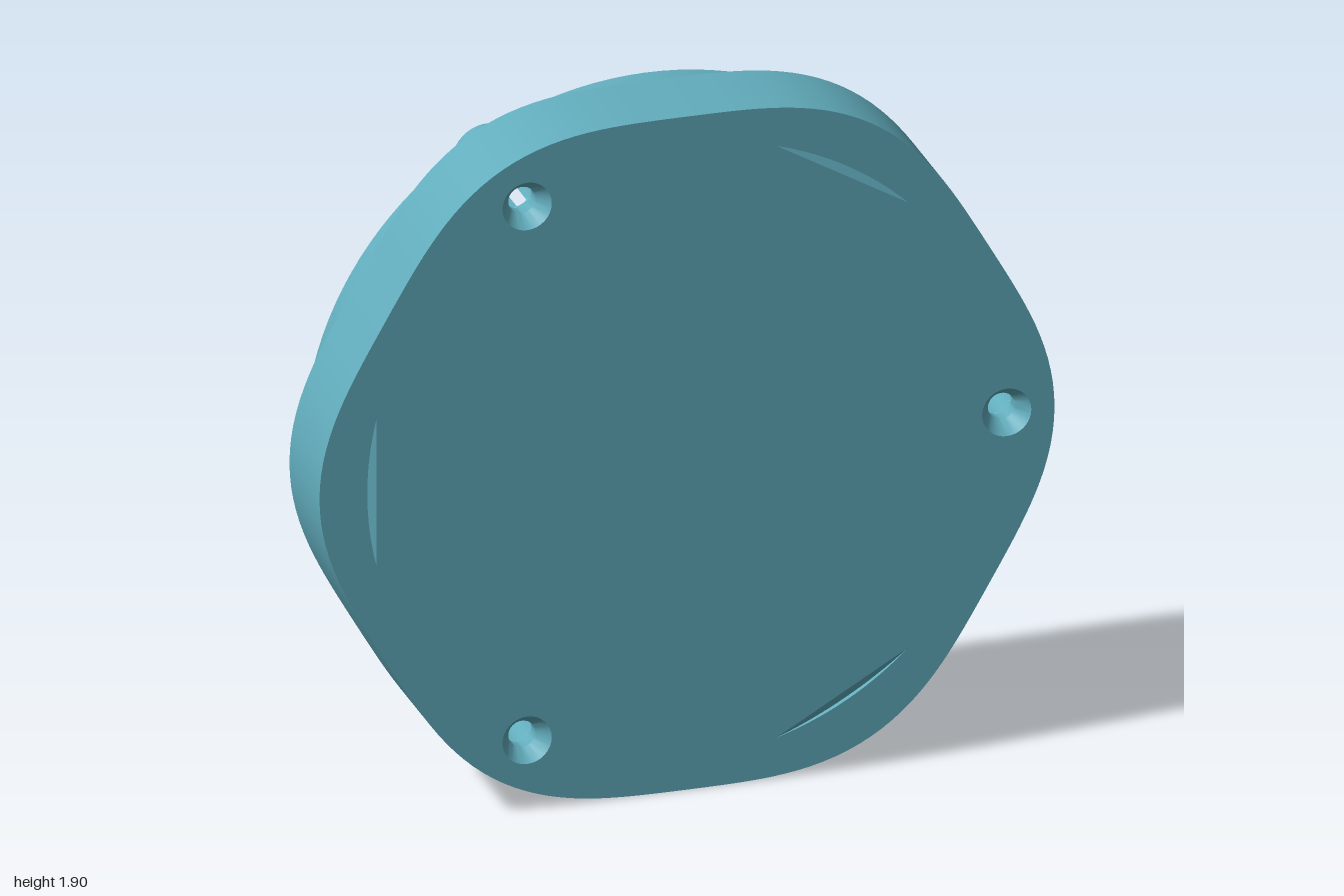
import * as THREE from 'three';
import { toCreasedNormals } from 'three/addons/utils/BufferGeometryUtils.js';

const TAU = Math.PI * 2;
const THIRD = TAU / 3;
const FRONT = 0.17, BACK = -0.17, SHOULDER = -0.085, LEDGE = 0.03, FLOOR = 0.09;
const SCREW_R = 0.87;

const polar = (r, a, cx = 0, cy = 0) => new THREE.Vector2(cx + r * Math.cos(a), cy + r * Math.sin(a));
const circle = (r, n = 96, c = new THREE.Vector2()) =>
  Array.from({ length: n }, (_, i) => polar(r, (i / n) * TAU, c.x, c.y));

// Circle of radius R merged with three small circles of radius r around the screw centres
function lobedLoop(R, r) {
  const c = SCREW_R, pts = [];
  const alpha = Math.acos((R * R + c * c - r * r) / (2 * R * c));
  const beta = Math.atan2(R * Math.sin(alpha), R * Math.cos(alpha) - c);
  for (let k = 0; k < 3; k++) {
    const a0 = k * THIRD, centre = polar(c, a0);
    for (let i = 0; i <= 24; i++) pts.push(polar(r, a0 - beta + (2 * beta * i) / 24, centre.x, centre.y));
    for (let i = 1; i < 40; i++) pts.push(polar(R, a0 + alpha + ((THIRD - 2 * alpha) * i) / 40));
  }
  return pts;
}

// Wall strip between two loops of equal length; inward walls face the loop's middle
function wall(loopA, z0, loopB, z1, inward = false) {
  const n = loopA.length, pos = [], index = [];
  for (const p of loopA) pos.push(p.x, p.y, z0);
  for (const p of loopB) pos.push(p.x, p.y, z1);
  for (let i = 0; i < n; i++) {
    const j = (i + 1) % n;
    if (inward) index.push(i, j + n, j, i, i + n, j + n);
    else index.push(i, j, j + n, i, j + n, i + n);
  }
  const g = new THREE.BufferGeometry();
  g.setAttribute('position', new THREE.Float32BufferAttribute(pos, 3));
  g.setIndex(index);
  return toCreasedNormals(g, 0.6);
}

// Flat face at depth z, facing the front or the back
function cap(loop, holes, z, facesBack = false) {
  const shape = new THREE.Shape(loop);
  shape.holes = holes.map((h) => new THREE.Path(h));
  const g = new THREE.ShapeGeometry(shape);
  g.translate(0, 0, z);
  if (facesBack) {
    const ix = g.index.array;
    for (let i = 0; i < ix.length; i += 3) [ix[i + 1], ix[i + 2]] = [ix[i + 2], ix[i + 1]];
    g.computeVertexNormals();
  }
  return g;
}

export function createModel() {
  const model = new THREE.Group();
  model.name = 'cover';
  const teal = new THREE.MeshStandardMaterial({ color: 0x62adbd });
  teal.name = 'teal';
  const body = new THREE.Group();
  body.name = 'coverBody';
  body.position.y = 0.95;
  model.add(body);
  const add = (name, geometry) => {
    const mesh = new THREE.Mesh(geometry, teal);
    mesh.name = name;
    body.add(mesh);
  };

  // Main outlines
  const outline = Array.from({ length: 180 }, (_, i) => {
    const a = (i / 180) * TAU;
    return polar(0.975 + 0.025 * Math.cos(6 * a), a);
  });
  const ringOuter = lobedLoop(0.935, 0.095);
  const cavity = lobedLoop(0.81, 0.062);
  const inner = circle(0.77);
  const screws = [0, 1, 2].map((k) => polar(SCREW_R, k * THIRD));

  // Shallow crescent dips on the three lobes without screws
  const half = 0.24, chord = SCREW_R * Math.cos(half);
  const dipAngles = [0, 1, 2].map((k) => Math.PI / 3 + k * THIRD);
  const dips = dipAngles.map((a) =>
    Array.from({ length: 17 }, (_, i) => polar(SCREW_R, a + half * (i / 8 - 1))));

  // Rounded six-sided slab
  add('frontFace', cap(outline, [...screws.map((s) => circle(0.067, 32, s)), ...dips], FRONT));
  add('slabSide', wall(outline, SHOULDER, outline, FRONT));
  add('slabBack', cap(outline, [ringOuter], SHOULDER, true));

  // Raised rim with screw lugs, and the stepped cavity inside it
  add('rimSide', wall(ringOuter, BACK, ringOuter, SHOULDER));
  add('rimFace', cap(ringOuter, [cavity], BACK, true));
  add('cavityWall', wall(cavity, BACK, cavity, LEDGE, true));
  add('cavityLedge', cap(circle(0.81), [inner], LEDGE, true));
  add('cavityStep', wall(inner, LEDGE, inner, FLOOR, true));
  add('cavityFloor', cap(inner, [circle(0.22)], FLOOR, true));

  // Screw holes: bore from the back, narrow hole, countersink at the front
  for (const s of screws) {
    const bore = circle(0.062, 32, s), hole = circle(0.037, 32, s), sink = circle(0.067, 32, s);
    add('screwBore', wall(bore, LEDGE, bore, FLOOR, true));
    add('screwSeat', cap(bore, [hole], FLOOR, true));
    add('screwHole', wall(hole, FLOOR, hole, 0.125, true));
    add('countersink', wall(hole, 0.125, sink, FRONT, true));
  }

  // Sloping floor and rim of each dip
  dips.forEach((dip, k) => {
    const g = cap(dip, [], FRONT), p = g.attributes.position;
    const dir = polar(1, dipAngles[k]);
    for (let i = 0; i < p.count; i++) {
      const u = p.getX(i) * dir.x + p.getY(i) * dir.y;
      p.setZ(i, FRONT - (0.015 * (u - chord)) / (SCREW_R - chord));
    }
    g.computeVertexNormals();
    add('dipFloor', g);
    add('dipWall', wall(dip, FRONT - 0.015, dip, FRONT, true));
  });

  // Central hub with a small collar and blind hole
  const hub = circle(0.22), collar = circle(0.11, 64), socket = circle(0.085, 64);
  add('hubSide', wall(hub, LEDGE, hub, FLOOR));
  add('hubFace', cap(hub, [], LEDGE, true));
  add('collarSide', wall(collar, -0.005, collar, LEDGE));
  add('collarFace', cap(collar, [socket], -0.005, true));
  add('collarSocket', wall(socket, -0.005, socket, LEDGE, true));

  return model;
}
